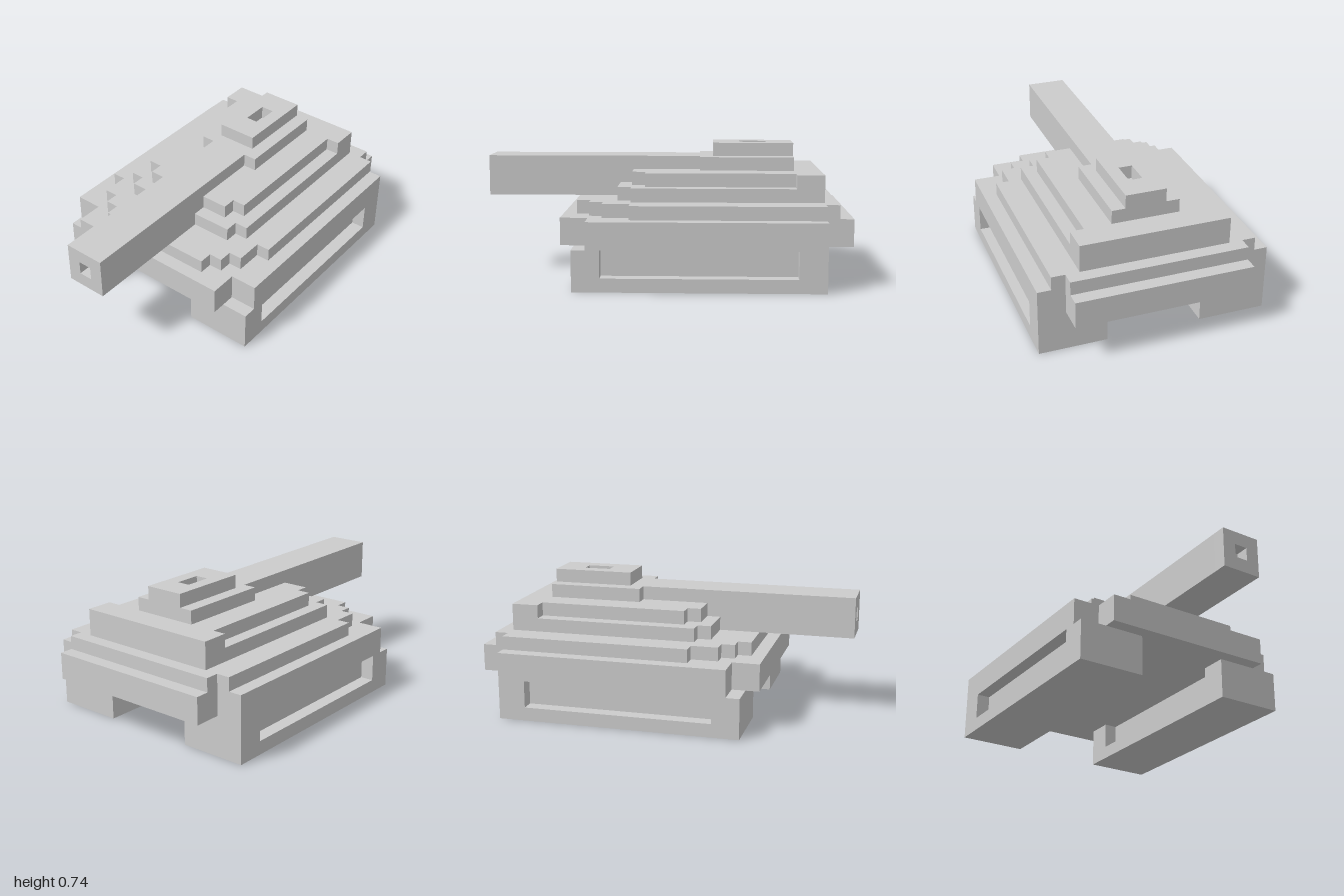
import * as THREE from 'three';

const U = 2 / 27; // one block of the grid
const material = new THREE.MeshStandardMaterial({ color: 0xcccccc, flatShading: true });

function addMesh(parent, name, geometry) {
  const mesh = new THREE.Mesh(geometry, material);
  mesh.name = name;
  parent.add(mesh);
  return mesh;
}

// Symmetric stepped outline from rows [halfWidth, zStart, zEnd], ordered back to front
function steppedShape(rows) {
  const right = [];
  for (const [w, z0, z1] of rows) right.push([w, z0], [w, z1]);
  const left = right.map(([x, z]) => [-x, z]).reverse();
  return new THREE.Shape([...right, ...left].map(([x, z]) => new THREE.Vector2(x, z)));
}

function rectPath(w, a, b) {
  return new THREE.Path([[-w, a], [-w, b], [w, b], [w, a]].map(([x, y]) => new THREE.Vector2(x, y)));
}

// Horizontal slab: outline in x/z blocks, raised from y0 to y1
function slab(parent, name, y0, y1, rows, hole) {
  const shape = steppedShape(rows);
  if (hole) shape.holes.push(rectPath(...hole));
  const geometry = new THREE.ExtrudeGeometry(shape, { depth: y1 - y0, bevelEnabled: false });
  geometry.rotateX(Math.PI / 2).translate(0, y1, -13.5).scale(U, U, U);
  return addMesh(parent, name, geometry);
}

export function createModel() {
  const model = new THREE.Group();
  model.name = 'tank';

  // Tracks: a solid foot, then a section recessed on both sides
  for (const side of [-1, 1]) {
    const track = new THREE.Group();
    track.name = side > 0 ? 'leftTrack' : 'rightTrack';
    slab(track, 'trackFoot', 0, 1, [[2.5, 2, 20]]);
    slab(track, 'trackRecessedSides', 1, 3, [[2.5, 2, 4], [1.5, 4, 18], [2.5, 18, 20]]);
    track.position.x = side * 6 * U;
    model.add(track);
  }

  // Hull
  slab(model, 'hull', 3, 5, [[6.5, 0, 2], [8.5, 2, 19], [6.5, 19, 21]]);
  slab(model, 'hullDeck', 5, 6, [[6.5, 1, 2], [7.5, 2, 16], [6.5, 16, 18], [5.5, 18, 19], [4.5, 19, 20]]);

  // Turret
  slab(model, 'turretBase', 6, 7, [[5.5, 2, 16], [4.5, 16, 17]]);
  slab(model, 'turretTop', 7, 8, [[5.5, 2, 4], [4.5, 4, 15], [3.5, 15, 16]]);
  slab(model, 'turretRoof', 8, 9, [[2.5, 4, 11]]);
  slab(model, 'hatch', 9, 10, [[1.5, 4, 10]], [0.5, 6, 8]);

  // Gun barrel with a shallow square bore
  slab(model, 'barrel', 6, 9, [[1.5, 11, 26]]);
  const muzzleShape = steppedShape([[1.5, 6, 9]]);
  muzzleShape.holes.push(rectPath(0.5, 7, 8));
  const muzzle = new THREE.ExtrudeGeometry(muzzleShape, { depth: 1, bevelEnabled: false });
  addMesh(model, 'muzzle', muzzle.translate(0, 0, 12.5).scale(U, U, U));

  return model;
}
